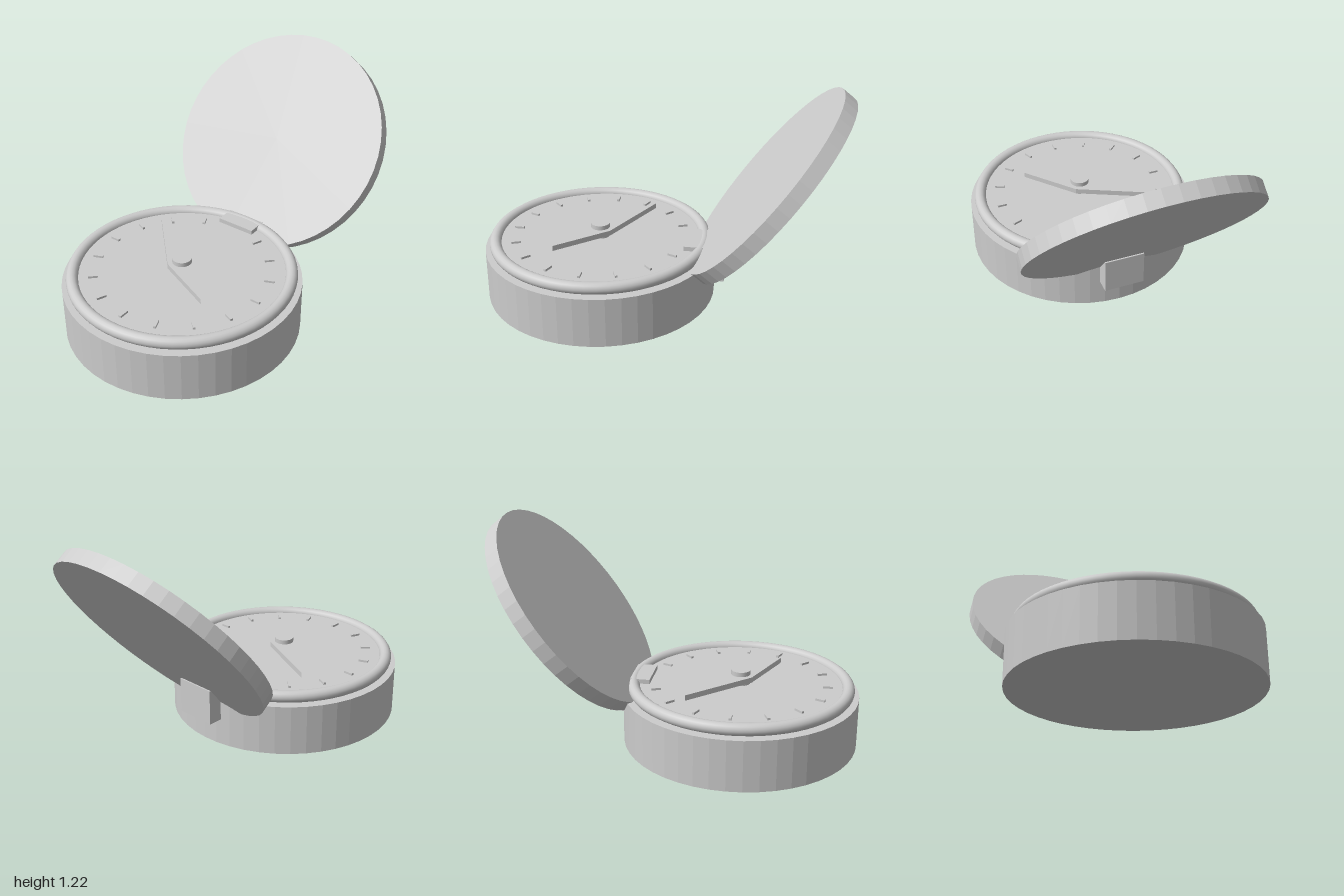
import * as THREE from 'three';

export function createModel() {
  const group = new THREE.Group();
  group.name = 'pocketCompass';
  const grey = new THREE.MeshStandardMaterial({ color: 0xcccccc });
  grey.name = 'grey metal';

  const add = (parent, name, geometry, x, y, z) => {
    const mesh = new THREE.Mesh(geometry, grey);
    mesh.name = name;
    mesh.position.set(x, y, z);
    parent.add(mesh);
    return mesh;
  };
  // Disc with faceted sides
  const disc = (radius, height, sides) => {
    const g = new THREE.CylinderGeometry(radius, radius, height, sides).toNonIndexed();
    g.computeVertexNormals();
    return g;
  };

  // Body, centred on its own axis
  const body = new THREE.Group();
  body.name = 'body';
  body.position.x = -0.357;
  group.add(body);
  add(body, 'case', disc(0.643, 0.28, 48), 0, 0.14, 0);
  add(body, 'dial', disc(0.57, 0.05, 48), 0, 0.295, 0);
  add(body, 'bezel', new THREE.TorusGeometry(0.585, 0.033, 16, 64), 0, 0.315, 0).rotation.x = Math.PI / 2;

  // Dial marks, leaving out the one at the hinge
  for (let i = 1; i < 16; i++) {
    const a = (i / 16) * Math.PI * 2;
    const mark = add(body, 'dialMark', new THREE.BoxGeometry(0.053, 0.016, 0.014),
      Math.cos(a) * 0.474, 0.324, -Math.sin(a) * 0.474);
    mark.rotation.y = a;
  }

  // Needle, a long diamond lying flat
  const diamond = new THREE.Shape([[0.43, 0], [0, 0.08], [-0.342, 0], [0, -0.08]]
    .map(([x, y]) => new THREE.Vector2(x, y)));
  const needleGeo = new THREE.ExtrudeGeometry(diamond, { depth: 0.03, bevelEnabled: false });
  needleGeo.rotateX(-Math.PI / 2);
  add(body, 'needle', needleGeo, 0, 0.342, 0).rotation.y = 0.945;
  add(body, 'needlePivot', new THREE.CylinderGeometry(0.053, 0.053, 0.08, 24), 0, 0.357, 0);

  // Hinge block and open lid
  add(group, 'hinge', new THREE.BoxGeometry(0.225, 0.196, 0.224), 0.2425, 0.247, 0);
  add(group, 'lid', disc(0.629, 0.084, 48), 0.571, 0.698, 0).rotation.z = 0.904;

  return group;
}
